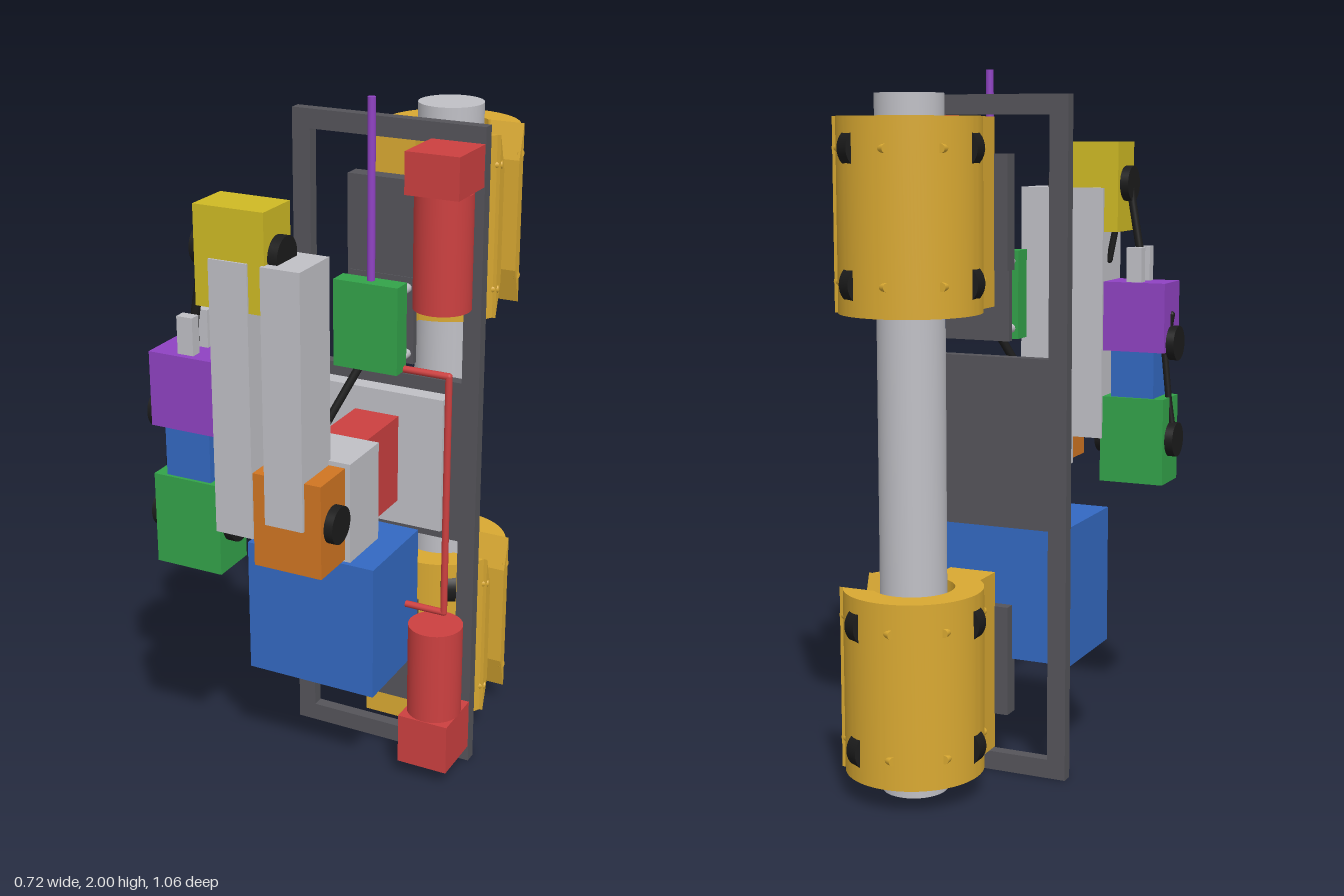
import * as THREE from 'three';
import { toCreasedNormals } from 'three/addons/utils/BufferGeometryUtils.js';

export function createModel() {
  const root = new THREE.Group();
  root.name = 'poleClimbingRobot';

  const mat = (name, color) => {
    const m = new THREE.MeshStandardMaterial({ color });
    m.name = name;
    return m;
  };
  const gold = mat('gold', 0xd9a932);
  const black = mat('black', 0x1c1c1c);
  const silver = mat('silver', 0xc0c0c6);
  const dark = mat('darkGrey', 0x55545a);
  const red = mat('red', 0xcc4040);
  const blue = mat('blue', 0x3369c2);
  const green = mat('green', 0x33a34a);
  const orange = mat('orange', 0xd07522);
  const yellow = mat('yellow', 0xcfba24);
  const purple = mat('purple', 0x8f42c2);

  const add = (name, geo, material, parent = root) => {
    const m = new THREE.Mesh(geo, material);
    m.name = name;
    parent.add(m);
    return m;
  };
  // Box given by its extents
  const box = (name, material, x0, x1, y0, y1, z0, z1, parent) => {
    const m = add(name, new THREE.BoxGeometry(x1 - x0, y1 - y0, z1 - z0), material, parent);
    m.position.set((x0 + x1) / 2, (y0 + y1) / 2, (z0 + z1) / 2);
    return m;
  };
  // Cylinder along one axis
  const cyl = (name, material, axis, r, length, x, y, z, parent) => {
    const g = new THREE.CylinderGeometry(r, r, length, 40);
    if (axis === 'x') g.rotateZ(Math.PI / 2);
    if (axis === 'z') g.rotateX(Math.PI / 2);
    const m = add(name, g, material, parent);
    m.position.set(x, y, z);
    return m;
  };
  // Bent round tube made of straight runs
  const tube = (name, material, r, points) => {
    const path = new THREE.CurvePath();
    const v = points.map(p => new THREE.Vector3(...p));
    for (let i = 1; i < v.length; i++) path.add(new THREE.LineCurve3(v[i - 1], v[i]));
    const g = new THREE.Group();
    g.name = name;
    root.add(g);
    path.curves.forEach(c => add(name + 'Run', new THREE.TubeGeometry(c, 1, r, 12), material, g));
    v.forEach(p => add(name + 'Joint', new THREE.SphereGeometry(r, 12, 8), material, g).position.copy(p));
  };

  // Pole
  const PX = 0.14, PZ = -0.33;
  cyl('pole', silver, 'y', 0.093, 1.92, PX, 0.97, PZ);

  // Back frame with two openings
  const rect = (S, x0, x1, y0, y1) => {
    const s = new S();
    s.moveTo(x0, y0).lineTo(x1, y0).lineTo(x1, y1).lineTo(x0, y1).closePath();
    return s;
  };
  const frame = rect(THREE.Shape, -0.22, 0.357, 0, 1.93);
  frame.holes.push(rect(THREE.Path, -0.165, 0.305, 0.055, 0.725), rect(THREE.Path, -0.165, 0.305, 1.21, 1.875));
  add('frame', new THREE.ExtrudeGeometry(frame, { depth: 0.035, bevelEnabled: false }), dark).position.z = -0.1;

  // Two C-shaped clamps with rollers
  const H = 0.52, RO = 0.195, RI = 0.115, GAP = 0.085;
  const ringShape = new THREE.Shape();
  const ao = Math.asin(GAP / RO), ai = Math.asin(GAP / RI);
  ringShape.absarc(0, 0, RO, ao, 2 * Math.PI - ao, false);
  ringShape.absarc(0, 0, RI, 2 * Math.PI - ai, ai, true);
  ringShape.closePath();
  const ringGeo = toCreasedNormals(
    new THREE.ExtrudeGeometry(ringShape, { depth: H, bevelEnabled: false, curveSegments: 56 }).rotateX(-Math.PI / 2), 0.6);

  for (const y0 of [0.07, 1.35]) {
    const clamp = new THREE.Group();
    clamp.name = y0 < 1 ? 'lowerClamp' : 'upperClamp';
    clamp.position.set(PX, y0, PZ);
    root.add(clamp);
    add('clampRing', ringGeo, gold, clamp);
    box('clampStem', gold, -0.14, 0, 0, H, 0.12, 0.235, clamp);
    // Jaws with tapered ends
    for (const s of [-1, 1]) {
      const jaw = new THREE.Shape([[0.055, 0.1], [0.055, H - 0.1], [GAP, H], [GAP, 0]]
        .map(([u, v]) => new THREE.Vector2(s * u, v)));
      const g = new THREE.ExtrudeGeometry(jaw, { depth: 0.102, bevelEnabled: false }).rotateY(Math.PI / 2);
      add('clampJaw', g, gold, clamp).position.x = 0.084;
    }
    // Rollers on tangential axles, three around at two heights
    for (const angle of [Math.PI, Math.PI / 3, -Math.PI / 3]) {
      for (const y of [0.083, 0.437]) {
        const roller = new THREE.Group();
        roller.name = 'roller';
        roller.rotation.y = angle;
        roller.position.y = y;
        clamp.add(roller);
        cyl('rollerWheel', black, 'z', 0.057, 0.045, 0.153, 0, 0, roller);
        cyl('rollerAxle', gold, 'z', 0.012, 0.25, 0.153, 0, 0, roller);
      }
    }
    // Mounting plate in the frame opening
    box('mountPlate', dark, -0.04, 0.17, y0 + 0.1, y0 + 0.42, -0.098, -0.048);
  }
  add('bolt', new THREE.SphereGeometry(0.014, 16, 12), gold).position.set(0.065, 0.24, -0.048);

  // Base plate and control box
  box('basePlate', silver, -0.135, 0.272, 0.77, 1.17, -0.065, -0.015);
  box('controlBox', blue, -0.22, 0.18, 0.33, 0.735, -0.065, 0.23);

  // Side actuators
  for (const [c0, c1, b0, b1] of [[1.45, 1.77, 1.77, 1.885], [0.205, 0.49, 0.05, 0.205]]) {
    cyl('actuatorBarrel', red, 'y', 0.08, c1 - c0, 0.278, (c0 + c1) / 2, 0.018);
    box('actuatorHead', red, 0.2, 0.355, b0, b1, -0.065, 0.1);
  }
  tube('redPipe', red, 0.01, [[0.14, 1.255, 0.012], [0.3, 1.255, 0.012], [0.3, 0.53, 0.012], [0.17, 0.53, 0.012]]);

  // Receiver with antenna on standoffs
  box('receiver', green, -0.03, 0.165, 1.25, 1.5, 0, 0.06);
  box('receiverBackPlate', dark, -0.03, 0.165, 1.25, 1.5, -0.065, -0.045);
  for (const x of [-0.008, 0.145])
    for (const y of [1.28, 1.47]) cyl('standoff', silver, 'z', 0.013, 0.05, x, y, -0.022);
  cyl('antenna', purple, 'y', 0.011, 0.5, 0.068, 1.75, 0.024);
  tube('cable', black, 0.012, [[0.04, 1.26, 0.02], [-0.03, 1.1, 0.085], [-0.03, 1.04, 0.215]]);

  // Arm base: motor, coupling, shoulder
  box('baseMotor', red, 0, 0.136, 0.84, 1.1, -0.02, 0.19);
  cyl('coupling', black, 'z', 0.08, 0.026, 0.069, 0.97, 0.198);
  box('shoulderBlock', silver, -0.047, 0.185, 0.828, 1.113, 0.21, 0.38);
  box('shoulderMotor', orange, -0.03, 0.17, 0.835, 1.1, 0.38, 0.516);
  cyl('shoulderAxle', black, 'x', 0.052, 0.25, 0.07, 0.97, 0.45);

  // Arm links and elbow
  box('upperLink', silver, 0.01, 0.122, 0.965, 1.665, 0.37, 0.527);
  box('foreLink', silver, -0.142, -0.03, 0.912, 1.665, 0.37, 0.522);
  box('elbowMotor', yellow, -0.185, 0.017, 1.535, 1.8, 0.38, 0.516);
  cyl('elbowAxle', black, 'x', 0.052, 0.255, -0.083, 1.677, 0.448);

  // Wrist and gripper stack
  box('wristMotor', green, -0.335, -0.135, 0.78, 1.04, 0.38, 0.516);
  cyl('wristAxle', black, 'x', 0.052, 0.25, -0.235, 0.912, 0.448);
  box('wristBlock', blue, -0.3, -0.165, 1.04, 1.18, 0.39, 0.506);
  box('gripperMotor', purple, -0.335, -0.142, 1.18, 1.387, 0.38, 0.516);
  cyl('gripperDisc', black, 'x', 0.052, 0.025, -0.347, 1.205, 0.448);
  for (const z of [0.408, 0.482]) box('finger', silver, -0.257, -0.21, 1.387, 1.49, z - 0.016, z + 0.016);
  tube('gripperCable', black, 0.012, [[-0.2, 1.66, 0.448], [-0.235, 1.46, 0.448], [-0.235, 1.385, 0.448]]);
  tube('elbowCable', black, 0.01, [[-0.165, 1.55, 0.42], [-0.145, 1.45, 0.42]]);
  tube('wristCable', black, 0.01, [[-0.335, 1.29, 0.448], [-0.315, 1.17, 0.448], [-0.33, 1.03, 0.448], [-0.345, 0.93, 0.448]]);

  return root;
}
